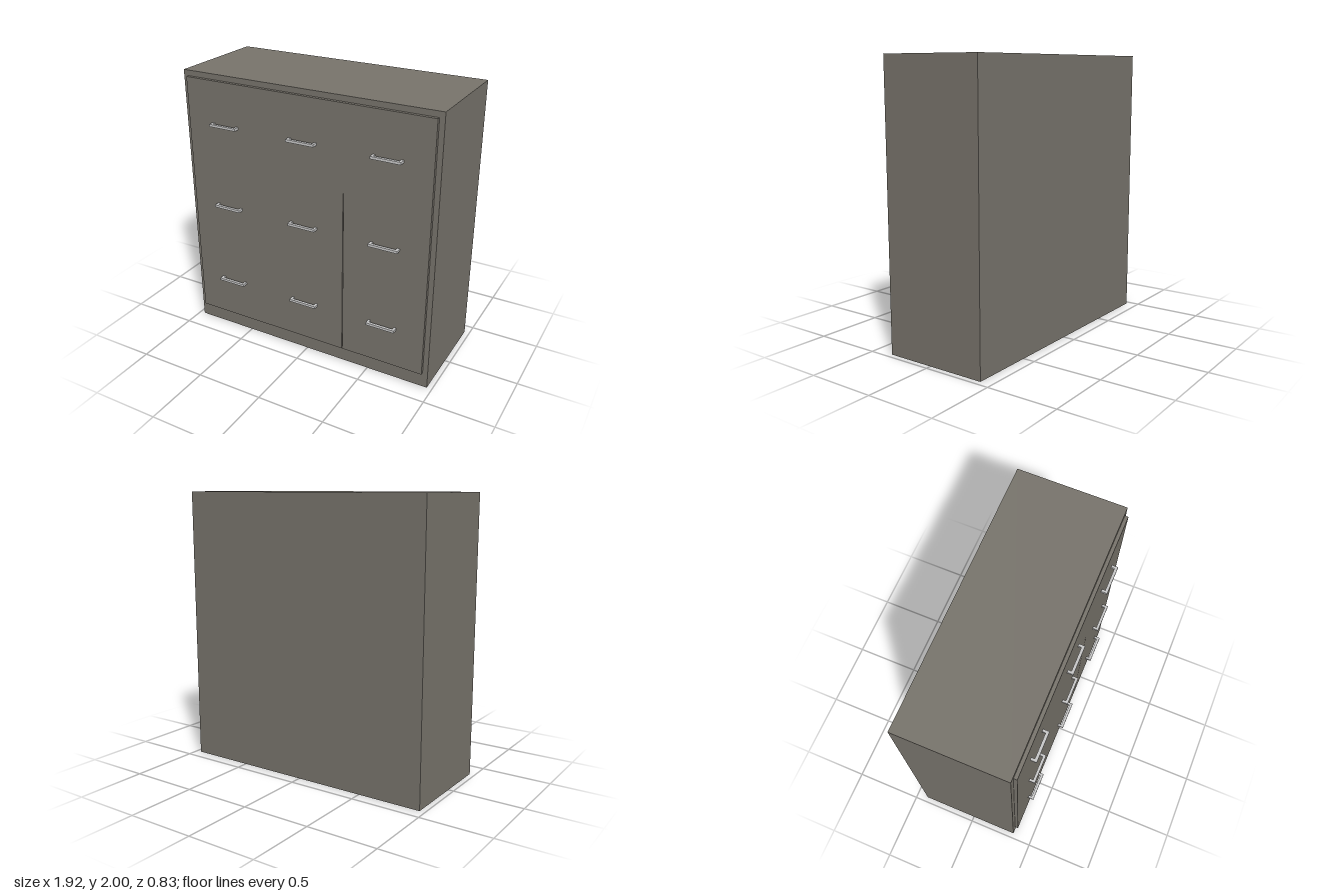
import * as THREE from 'three';

export function createModel() {
  const model = new THREE.Group();
  const wood = new THREE.MeshStandardMaterial({ color: 0x77736b });
  wood.name = 'grey brown wood';
  const metal = new THREE.MeshStandardMaterial({ color: 0xc6c6c6 });
  metal.name = 'light metal';

  // Box given by its low and high corners
  function box(name, material, [x0, y0, z0], [x1, y1, z1], parent = model) {
    const mesh = new THREE.Mesh(new THREE.BoxGeometry(x1 - x0, y1 - y0, z1 - z0), material);
    mesh.position.set((x0 + x1) / 2, (y0 + y1) / 2, (z0 + z1) / 2);
    mesh.name = name;
    parent.add(mesh);
  }

  // Cabinet body
  const front = 0.348, face = 0.372;
  box('cabinetBody', wood, [-0.962, 0, -0.415], [0.962, 2, front]);

  // Bracket handle: two posts and a bar
  function addHandle(x, y) {
    const handle = new THREE.Group();
    handle.name = 'handle';
    const half = 0.106, h = 0.009, t = 0.018, barBack = 0.395;
    box('handleBar', metal, [-half, -h, barBack], [half, h, 0.415], handle);
    box('handlePostRight', metal, [-half, -h, face], [-half + t, h, barBack], handle);
    box('handlePostLeft', metal, [half - t, -h, face], [half, h, barBack], handle);
    handle.position.set(x, y, 0);
    model.add(handle);
  }

  // Three by three drawer fronts, flush with each other
  const left = -0.925, bottom = 0.115, w = 0.6167, h = 0.615, gap = 0.005;
  for (let row = 0; row < 3; row++) {
    for (let col = 0; col < 3; col++) {
      const x = left + col * w, y = bottom + row * h;
      // Narrow slit beside the two lower drawers of the last column
      const inset = col === 1 && row < 2 ? gap : 0;
      box('drawerFront', wood, [x, y, front], [x + w - inset, y + h, face]);
      addHandle(x + w / 2, y + h / 2);
    }
  }
  return model;
}
